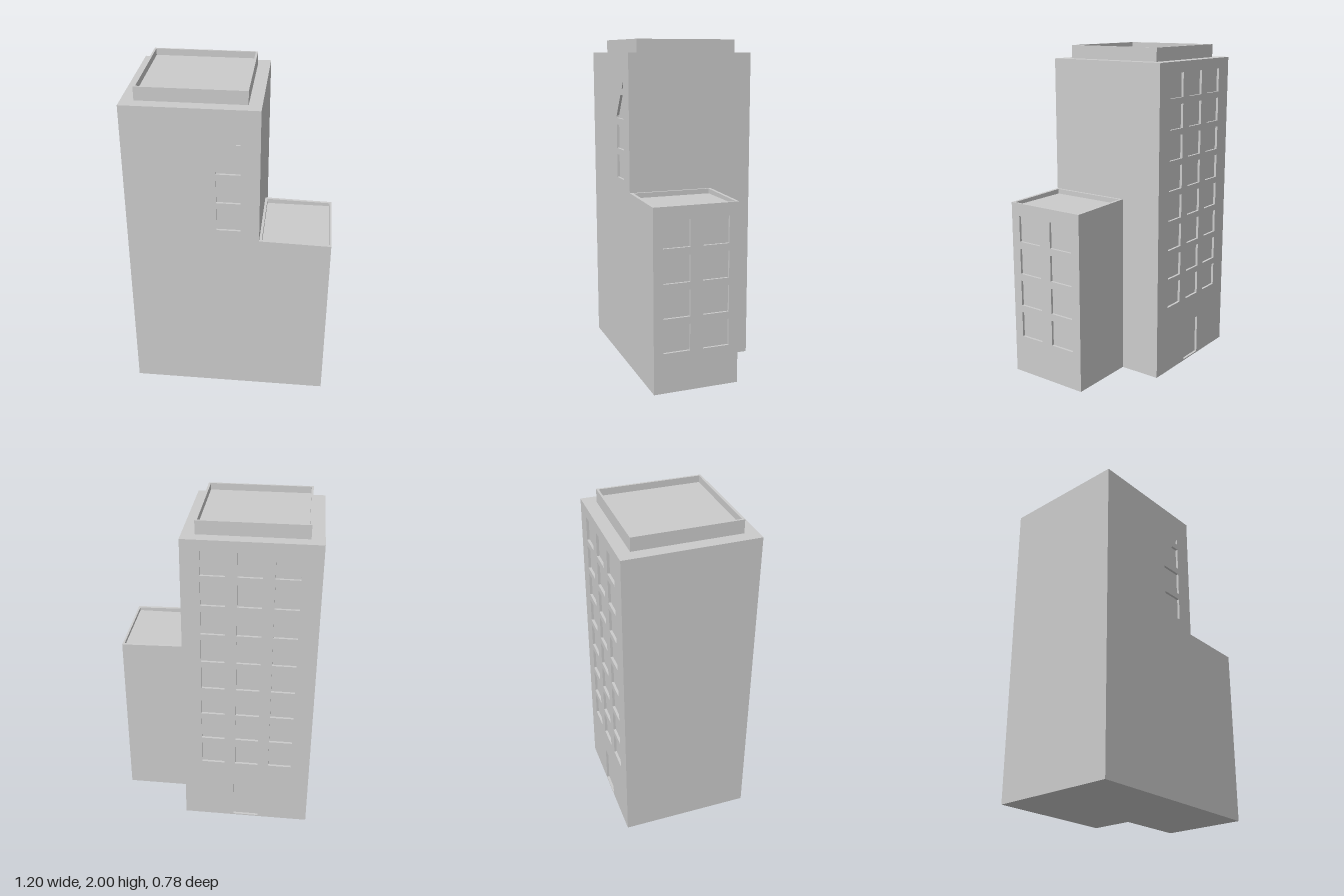
import * as THREE from 'three';

const material = new THREE.MeshStandardMaterial({ color: 0xcccccc, flatShading: true });
const DEPTH = 0.015; // depth of the window recesses

function add(parent, name, geometry) {
  const mesh = new THREE.Mesh(geometry, material);
  mesh.name = name;
  parent.add(mesh);
  return mesh;
}

// Box given by its limits on each axis
function block(x0, x1, y0, y1, z0, z1) {
  return new THREE.BoxGeometry(x1 - x0, y1 - y0, z1 - z0)
    .translate((x0 + x1) / 2, (y0 + y1) / 2, (z0 + z1) / 2);
}

const rect = (x0, x1, y0, y1) => [[x0, y0], [x1, y0], [x1, y1], [x0, y1]];
const toPoints = (list) => list.map(([x, y]) => new THREE.Vector2(x, y));

// Flat plate pierced by polygonal openings
function plate(outline, openings, thickness) {
  const shape = new THREE.Shape(toPoints(outline));
  for (const o of openings) shape.holes.push(new THREE.Path(toPoints(o)));
  return new THREE.ExtrudeGeometry(shape, { depth: thickness, bevelEnabled: false });
}

// Low parapet wall around a roof; outer and inner are [x0, x1, z0, z1]
function parapet(outer, inner, y0, y1) {
  const flip = ([x0, x1, z0, z1]) => rect(x0, x1, -z1, -z0);
  return plate(flip(outer), [flip(inner)], y1 - y0).rotateX(-Math.PI / 2).translate(0, y0, 0);
}

export function createModel() {
  const model = new THREE.Group();
  model.name = 'building';

  // Tower
  const tower = new THREE.Group();
  tower.name = 'tower';
  model.add(tower);
  const [left, right, half, top] = [-0.6, 0.18, 0.39, 1.92];
  add(tower, 'towerCore', block(left, right, 0, top, -half + DEPTH, half - DEPTH));

  // Back wall: three columns by eight rows of windows and a door
  const backOpenings = [rect(-0.29, -0.13, 0.008, 0.255)];
  for (const x of [-0.415, -0.2075, 0]) {
    for (let row = 0; row < 8; row++) {
      const y = 1.855 - row * 0.1835;
      backOpenings.push(rect(x - 0.07, x + 0.07, y - 0.145, y));
    }
  }
  add(tower, 'backWall', plate(rect(left, right, 0, top), backOpenings, DEPTH).translate(0, 0, -half));

  // Front wall: one column of windows, cut off by a diagonal at the top
  const frontOpenings = [
    rect(-0.07, 0.07, 1.162, 1.305),
    rect(-0.07, 0.07, 1.343, 1.488),
    [[-0.07, 1.528], [0.07, 1.528], [0.07, 1.672], [0.015, 1.672], [-0.07, 1.543]],
    [[0.042, 1.71], [0.07, 1.71], [0.07, 1.752]],
  ];
  add(tower, 'frontWall', plate(rect(left, right, 0, top), frontOpenings, DEPTH).translate(0, 0, half - DEPTH));

  // Tower roof with sunken deck
  add(tower, 'towerParapet', parapet([-0.525, 0.105, -0.315, 0.315], [-0.513, 0.092, -0.303, 0.302], top, 2));
  add(tower, 'towerRoofDeck', block(-0.513, 0.092, top, 1.96, -0.303, 0.302));

  // Annex
  const annex = new THREE.Group();
  annex.name = 'annex';
  model.add(annex);
  const [ax, az0, az1, deck] = [0.6, -0.13, 0.39, 1.07];
  add(annex, 'annexCore', block(right, ax - DEPTH, 0, deck, az0, az1));

  // Side wall: two columns by four rows of windows
  const sideOpenings = [];
  for (const z of [0.25, 0.01]) {
    for (let row = 0; row < 4; row++) {
      const y = 0.24 + row * 0.204;
      sideOpenings.push(rect(-z - 0.081, -z + 0.081, y, y + 0.16));
    }
  }
  add(annex, 'annexSideWall', plate(rect(-az1, -az0, 0, deck), sideOpenings, DEPTH)
    .rotateY(Math.PI / 2).translate(ax - DEPTH, 0, 0));

  // Annex parapet, its top sloping slightly down away from the tower
  const rim = parapet([right, ax, az0, az1], [0.195, 0.588, -0.112, 0.37], deck, 1.1);
  const pos = rim.attributes.position;
  for (let i = 0; i < pos.count; i++) {
    if (pos.getY(i) > deck + 0.01) pos.setY(i, 1.1 - 0.01 * (pos.getX(i) - right) / (ax - right));
  }
  rim.computeVertexNormals();
  add(annex, 'annexParapet', rim);

  return model;
}
